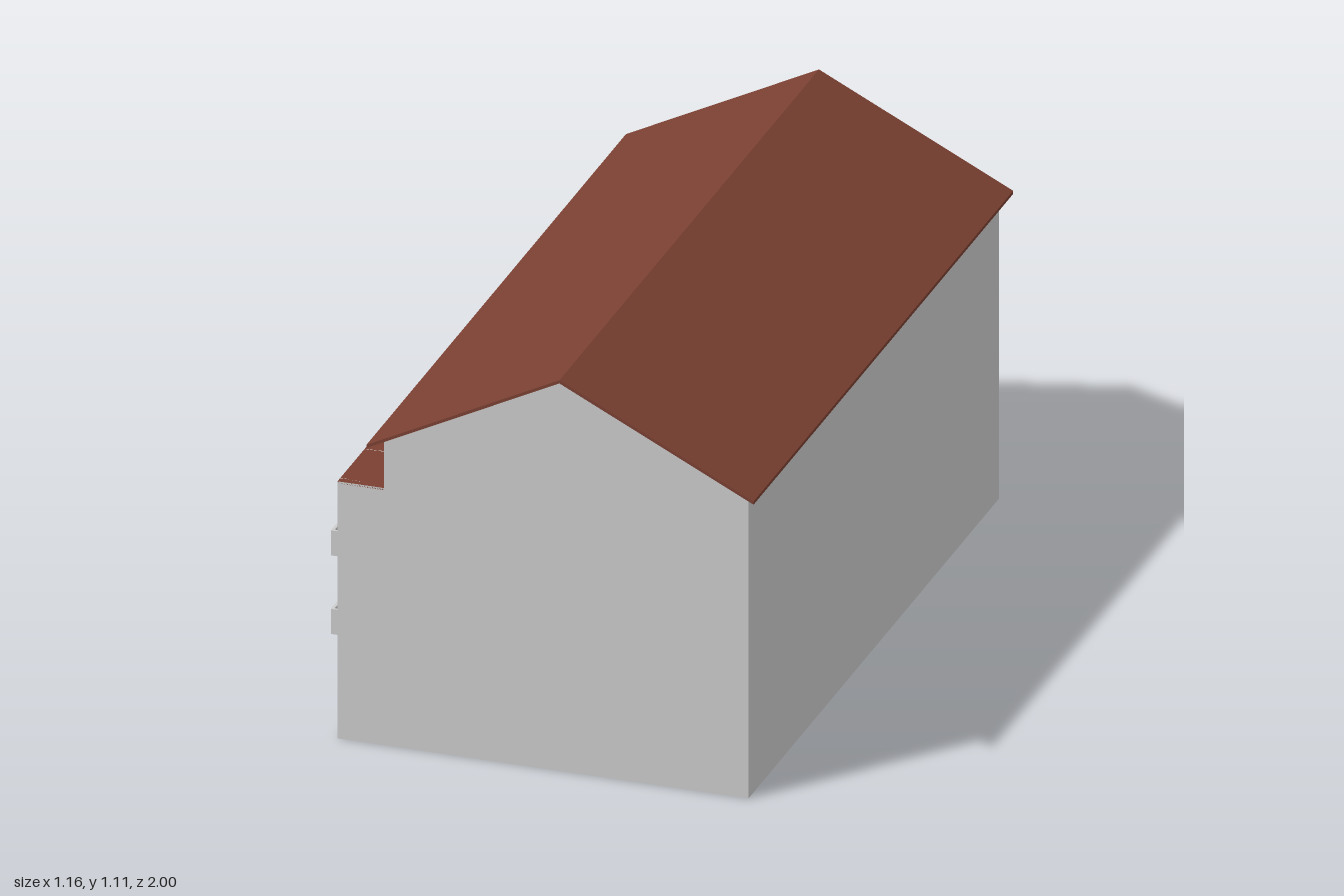
import * as THREE from 'three';

const mat = (color) => new THREE.MeshStandardMaterial({ color, side: THREE.DoubleSide });
const grey = mat(0xcccccc), darkGrey = mat(0x8f8f8f), brown = mat(0x7a4032), glass = mat(0x0c0c0c);

const FACADE = -0.555, SETBACK = -0.43, RIGHT = 0.552, END = 0.965;
const FLOOR1 = 0.28, FLOOR2 = 0.5, TERRACE = 0.72;
const LOGGIA = [0.755, 0.945], DEPTH = 0.06;

function add(parent, name, geometry, material) {
  const mesh = new THREE.Mesh(geometry, material);
  mesh.name = name;
  parent.add(mesh);
  return mesh;
}

// Box given by its limits on each axis
function box(parent, name, [x0, x1], [y0, y1], [z0, z1], material) {
  const m = add(parent, name, new THREE.BoxGeometry(x1 - x0, y1 - y0, z1 - z0), material);
  m.position.set((x0 + x1) / 2, (y0 + y1) / 2, (z0 + z1) / 2);
  return m;
}

const rectPoints = (a0, a1, b0, b1) =>
  [[a0, b0], [a1, b0], [a1, b1], [a0, b1]].map(([a, b]) => new THREE.Vector2(a, b));

// Sheet wall facing -x, drawn in (z, y), with optional rectangular openings
function sideWall(parent, name, x, z0, z1, y0, y1, material, holes = []) {
  const shape = new THREE.Shape(rectPoints(z0, z1, y0, y1));
  holes.forEach((h) => shape.holes.push(new THREE.Path(rectPoints(...h))));
  const m = add(parent, name, new THREE.ShapeGeometry(shape).rotateY(-Math.PI / 2), material);
  m.position.x = x;
  return m;
}

// Window set through a wall at x: dark pane, brown border and glazing bars
function windowUnit(parent, name, x, z0, z1, y0, y1, cols = 1, rows = 1, bar = 0.005) {
  const g = new THREE.Group();
  g.name = name;
  box(g, 'pane', [x - 0.002, x + 0.002], [y0, y1], [z0, z1], glass);
  const bx = [x - 0.005, x + 0.003];
  for (let i = 0; i <= cols; i++) {
    const z = z0 + ((z1 - z0) * i) / cols;
    box(g, 'uprightBar', bx, [y0, y1], [z - bar / 2, z + bar / 2], brown);
  }
  for (let j = 0; j <= rows; j++) {
    const y = y0 + ((y1 - y0) * j) / rows;
    box(g, 'crossBar', bx, [y - bar / 2, y + bar / 2], [z0, z1], brown);
  }
  parent.add(g);
}

// One recessed balcony with a low parapet standing out from the facade
function balcony(parent, z0, z1, y0, y1, floorMaterial) {
  const g = new THREE.Group();
  g.name = 'balcony';
  const back = FACADE + DEPTH, front = -0.58, t = 0.008;
  sideWall(g, 'recessBack', back, z0, z1, y0, y1, grey);
  for (const z of [z0, z1]) {
    box(g, 'recessSide', [FACADE, back], [y0, y1], [z - 0.002, z + 0.002], grey);
  }
  box(g, 'balconyFloor', [FACADE, back], [y0, y0 + t], [z0, z1], floorMaterial);
  box(g, 'balconyLedge', [front, FACADE], [y0, y0 + t], [z0, z1], grey);
  box(g, 'parapetFront', [front, front + t], [y0, y0 + 0.07], [z0, z1], grey);
  box(g, 'parapetSide', [front, FACADE], [y0, y0 + 0.07], [z0, z0 + t], grey);
  box(g, 'parapetSide', [front, FACADE], [y0, y0 + 0.07], [z1 - t, z1], grey);
  windowUnit(g, 'balconyDoor', back, z0 + 0.01, z1 - 0.01, y0 + 0.012, y1 - 0.025, 2, 1);
  parent.add(g);
}

export function createModel() {
  const model = new THREE.Group();
  model.name = 'apartmentBuilding';

  // Gable end walls with the terrace step
  const gable = new THREE.Shape([
    [FACADE, 0], [RIGHT, 0], [RIGHT, 0.858], [0.055, 1.105],
    [SETBACK, 0.862], [SETBACK, TERRACE], [FACADE, TERRACE],
  ].map(([x, y]) => new THREE.Vector2(x, y)));
  for (const s of [-1, 1]) {
    const end = add(model, s > 0 ? 'frontGable' : 'backGable', new THREE.ShapeGeometry(gable), grey);
    end.position.z = s * END;
    if (s < 0) {
      // mirrored in x so that its outside faces -z
      end.rotation.y = Math.PI;
      end.geometry.scale(-1, 1, 1);
      const index = end.geometry.index;
      for (let i = 0; i < index.count; i += 3) {
        const a = index.getX(i);
        index.setX(i, index.getX(i + 1));
        index.setX(i + 1, a);
      }
    }
  }

  // Long plain wall
  box(model, 'plainWall', [RIGHT - 0.004, RIGHT], [0, 0.858], [-END, END], grey);

  // Windowed facade: dark ground floor, main wall with balcony openings, set-back attic wall
  sideWall(model, 'groundFloorWall', FACADE, -END, END, 0, FLOOR1, darkGrey);
  const [l0, l1] = LOGGIA;
  sideWall(model, 'mainFacade', FACADE, -END, END, FLOOR1, TERRACE, grey, [
    [l0, l1, FLOOR1 + 0.001, TERRACE - 0.001],
    [-l1, -l0, FLOOR1 + 0.001, TERRACE - 0.001],
  ]);
  sideWall(model, 'atticWall', SETBACK, -END, END, TERRACE, 0.862, grey);
  box(model, 'terrace', [FACADE, SETBACK], [TERRACE - 0.006, TERRACE], [-END, END], brown);

  // Roof: two thin slopes along the length
  const t = 0.009;
  const roof = new THREE.Shape([
    [-0.465, 0.851], [-0.465, 0.851 - t], [0.055, 1.111 - t],
    [0.578, 0.851 - t], [0.578, 0.851], [0.055, 1.111],
  ].map(([x, y]) => new THREE.Vector2(x, y)));
  add(model, 'roof', new THREE.ExtrudeGeometry(roof, { depth: 2, bevelEnabled: false }).translate(0, 0, -1), brown);

  // Balconies at both ends, on two floors
  for (const [z0, z1] of [[l0, l1], [-l1, -l0]]) {
    balcony(model, z0, z1, FLOOR1, FLOOR2, grey);
    balcony(model, z0, z1, FLOOR2, TERRACE, brown);
  }

  // Ground floor shop windows
  for (const z of [-0.485, 0, 0.485]) {
    windowUnit(model, 'groundWindow', FACADE, z, z + 0.22, 0.025, 0.275, 3, 2);
  }
  windowUnit(model, 'entrance', FACADE, -0.95, -0.75, 0.025, 0.275, 3, 2);
  windowUnit(model, 'cornerWindow', FACADE, 0.75, 0.93, 0.03, 0.2);

  // Paired windows on the two main floors
  for (const y of [0.385, 0.58]) {
    for (const c of [-0.36, 0, 0.37]) {
      for (const s of [-1, 1]) {
        const z = c + s * 0.06;
        windowUnit(model, 'floorWindow', FACADE, z - 0.037, z + 0.037, y, y + 0.1);
      }
    }
  }

  // Attic windows
  for (const c of [0.12, 0.37, 0.57, 0.85]) {
    for (const s of [-1, 1]) {
      windowUnit(model, 'atticWindow', SETBACK, s * c - 0.043, s * c + 0.043, 0.75, 0.835, 1, 1, 0.003);
    }
  }
  return model;
}
